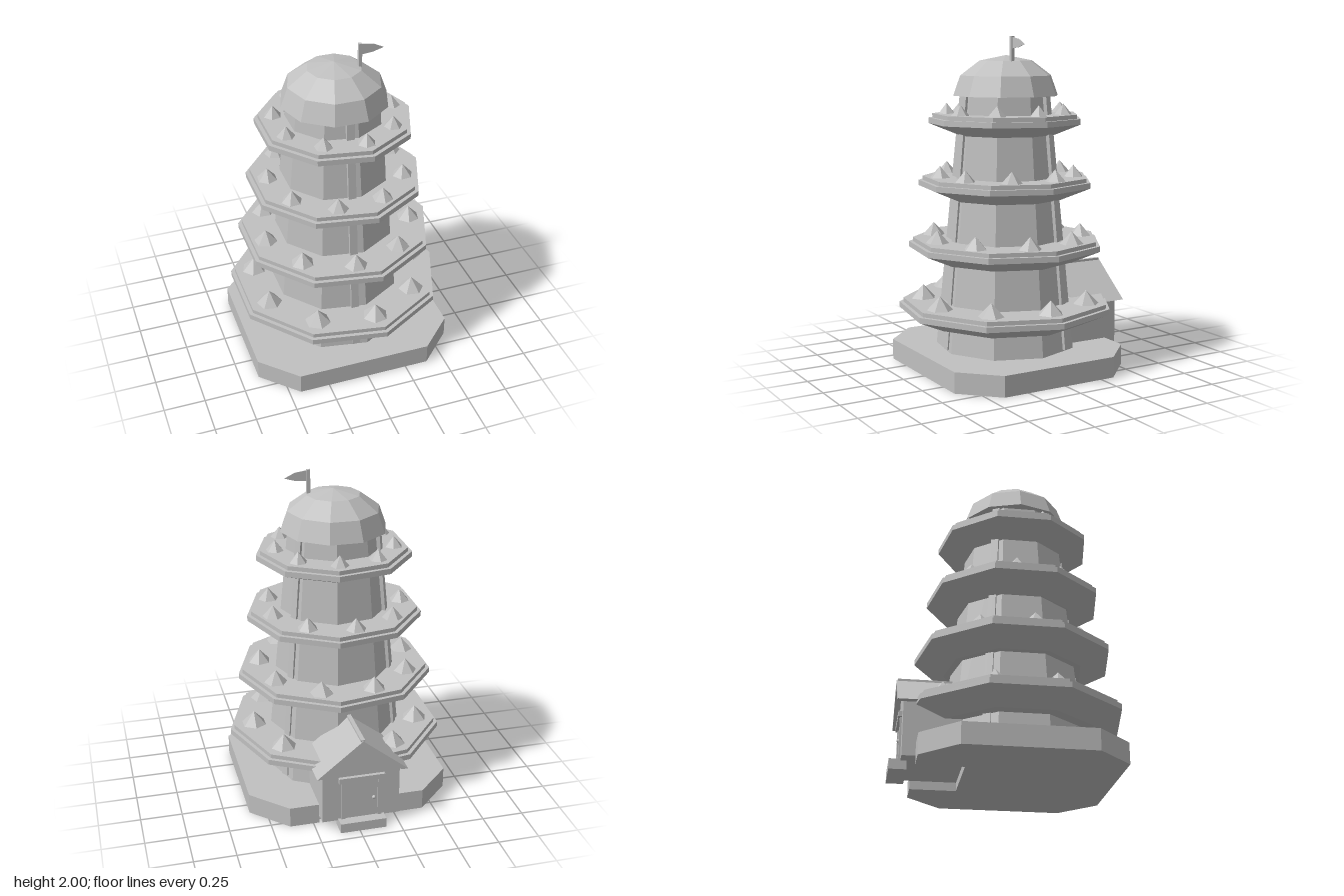
import * as THREE from 'three';

export function createModel() {
  const root = new THREE.Group();
  root.name = 'pagodaTower';
  const stone = new THREE.MeshStandardMaterial({ color: 0xc0c0c0 });
  stone.name = 'stone grey';
  stone.flatShading = true;

  const add = (parent, name, geo, x = 0, y = 0, z = 0) => {
    const m = new THREE.Mesh(geo, stone);
    m.name = name;
    m.position.set(x, y, z);
    parent.add(m);
    return m;
  };
  const box = (parent, name, x0, x1, y0, y1, z0, z1) =>
    add(parent, name, new THREE.BoxGeometry(x1 - x0, y1 - y0, z1 - z0),
      (x0 + x1) / 2, (y0 + y1) / 2, (z0 + z1) / 2);
  // nine-sided drum with one corner on +x
  const drum = (parent, name, rTop, rBottom, y0, y1) =>
    add(parent, name, new THREE.CylinderGeometry(rTop, rBottom, y1 - y0, 9, 1, false, Math.PI / 2),
      0, (y0 + y1) / 2, 0);
  const shapeOf = pts => new THREE.Shape(pts.map(p => new THREE.Vector2(...p)));
  const extrude = (pts, depth) =>
    new THREE.ExtrudeGeometry(shapeOf(pts), { depth, bevelEnabled: false });

  // everything round shares this axis
  const tower = new THREE.Group();
  tower.name = 'tower';
  tower.position.set(-0.02, 0, 0.037);
  root.add(tower);

  // chamfered square base, notched at the back for the porch
  const w = 0.62, d = 0.58, c = 0.208, n = 0.235, notch = 0.307;
  const base = add(tower, 'base', extrude([
    [w, c - d], [w, d - c], [w - c, d],
    [n, d], [n, notch], [-n, notch], [-n, d],
    [c - w, d], [-w, d - c], [-w, c - d], [c - w, -d], [w - c, -d]], 0.125));
  base.rotation.x = -Math.PI / 2;

  // tapering wall and its three leaning strips
  drum(tower, 'wall', 0.278, 0.43, 0.125, 1.66);
  for (let i = 0; i < 3; i++) {
    const arm = new THREE.Group();
    arm.name = 'wallStrip';
    arm.rotation.y = -(Math.PI / 2 + i * Math.PI * 2 / 3);
    tower.add(arm);
    add(arm, 'strip', new THREE.BoxGeometry(0.05, 1.53, 0.047), 0.328, 0.895, 0)
      .rotation.z = Math.atan(0.09);
  }

  // four ledges, each ringed with nine spikes
  for (let i = 0; i < 4; i++) {
    const tier = new THREE.Group();
    tier.name = 'tier' + (i + 1);
    tower.add(tier);
    const y = 0.275 + i * 0.378, r = 0.658 - i * 0.0633;
    drum(tier, 'ledgeUnderside', r, 0.488 - i * 0.069, y, y + 0.075);
    drum(tier, 'ledgeRim', r, r, y + 0.075, y + 0.108);
    drum(tier, 'ledgeTop', r - 0.024, r - 0.024, y + 0.108, y + 0.133);
    const h = 0.082 - i * 0.006, sr = 0.078 - i * 0.008, ring = 0.51 - i * 0.051;
    for (let k = 0; k < 9; k++) {
      const a = THREE.MathUtils.degToRad(12.8 * i + 40 * k);
      const spike = add(tier, 'spike', new THREE.ConeGeometry(sr, h, 6),
        ring * Math.cos(a), y + 0.133 + h / 2, ring * Math.sin(a));
      spike.rotation.y = -a;
    }
  }

  // faceted dome with closed underside
  const dome = add(tower, 'dome',
    new THREE.SphereGeometry(0.322, 10, 3, 0, Math.PI * 2, 0, Math.PI / 2), 0, 1.65, 0);
  dome.scale.y = 0.745;
  add(tower, 'domeUnderside', new THREE.CircleGeometry(0.322, 10), 0, 1.65, 0)
    .rotation.x = Math.PI / 2;

  // flag
  box(root, 'flagPole', 0.11, 0.13, 1.8, 2, 0.068, 0.088);
  add(root, 'flag', extrude([[0.13, 1.93], [0.2, 1.937], [0.262, 1.955],
    [0.2, 1.985], [0.13, 1.995]], 0.004), 0, 0, 0.076);

  // gabled porch at the back
  const porch = new THREE.Group();
  porch.name = 'porch';
  porch.position.x = -0.022;
  root.add(porch);
  add(porch, 'porchWalls', extrude([[-n, 0.05], [n, 0.05], [n, 0.38],
    [0, 0.56], [-n, 0.38]], 0.35), 0, 0, -0.62);
  add(porch, 'porchRoof', extrude([[-0.275, 0.365], [-0.235, 0.365], [0, 0.555],
    [0.235, 0.365], [0.275, 0.365], [0, 0.585]], 0.355), 0, 0, -0.655);
  box(porch, 'roofRidge', -0.012, 0.012, 0.568, 0.589, -0.648, -0.3);
  box(porch, 'doorStep', -0.14, 0.14, 0, 0.06, -0.685, -0.585);
  box(porch, 'doorLintel', -0.14, 0.14, 0.31, 0.342, -0.642, -0.6);
  for (const s of [-1, 1])
    box(porch, 'doorPost', s * 0.112 - 0.012, s * 0.112 + 0.012, 0.06, 0.31, -0.632, -0.6);
  box(porch, 'door', -0.1, 0.1, 0.06, 0.31, -0.624, -0.6);
  add(porch, 'doorKnob', new THREE.SphereGeometry(0.012, 8, 6), -0.075, 0.185, -0.632);

  return root;
}
